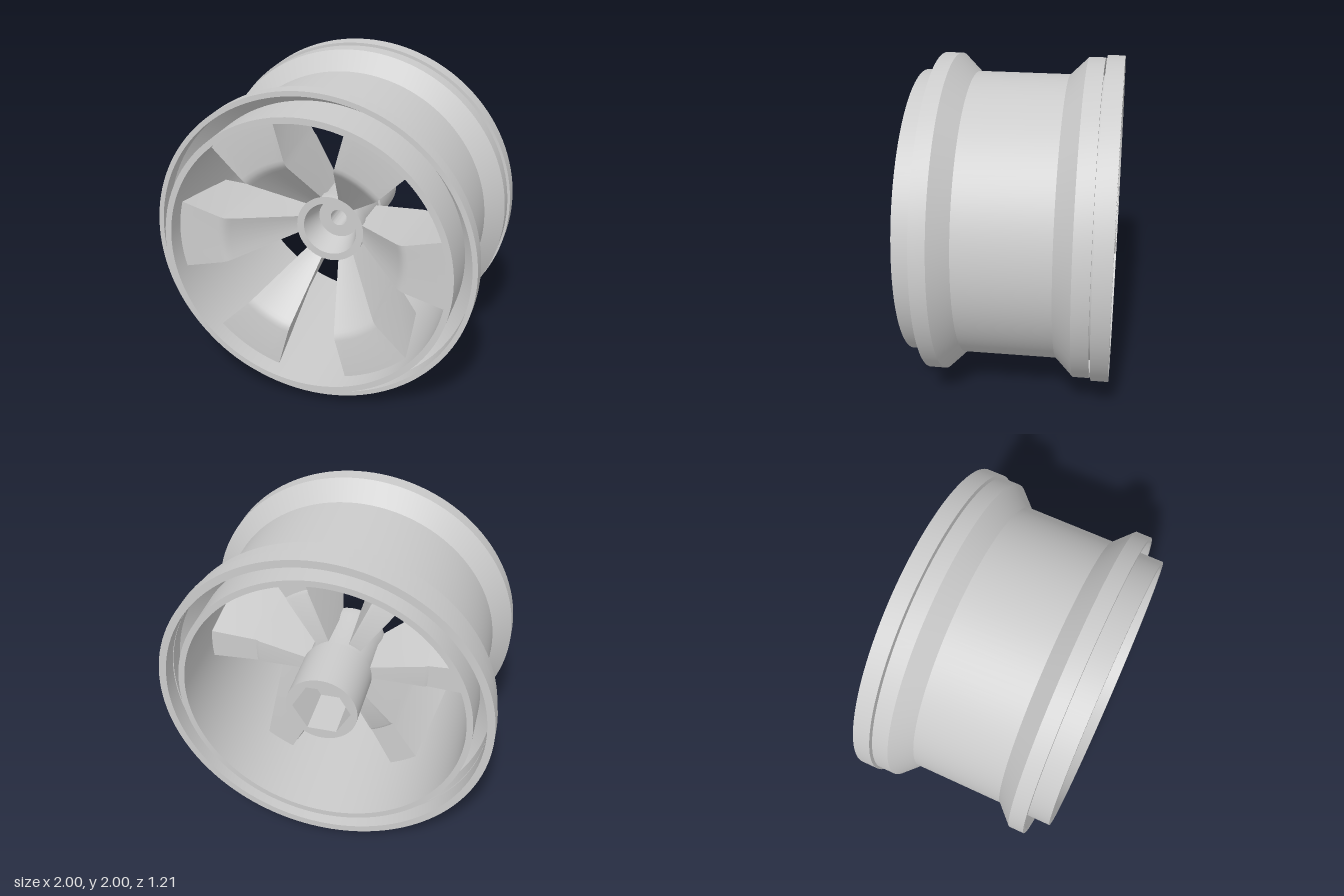
import * as THREE from 'three';
import { toCreasedNormals } from 'three/addons/utils/BufferGeometryUtils.js';

const material = new THREE.MeshStandardMaterial({ color: 0xcccccc });

function addMesh(parent, name, geometry, crease = 0.5) {
  const mesh = new THREE.Mesh(toCreasedNormals(geometry, crease), material);
  mesh.name = name;
  parent.add(mesh);
  return mesh;
}

// Closed ring of revolution about z; profile is [radius, z], counter-clockwise
function revolve(profile, segments = 96) {
  const points = [...profile, profile[0]].map(([r, z]) => new THREE.Vector2(r, z));
  return new THREE.LatheGeometry(points, segments).rotateX(Math.PI / 2);
}

// Spoke along +x: a wedge in front that narrows to a straight rib behind.
// Each station is [radius, front z, back z, back half width].
function spokeGeometry() {
  const stations = [
    [0.19, 0.115, -0.2, 0.04],
    [0.215, 0.14, -0.2, 0.042],
    [0.525, 0.455, -0.16, 0.076],
    [0.545, 0.473, -0.15, 0.078],
    [0.565, 0.485, -0.15, 0.079],
    [0.59, 0.49, -0.15, 0.08],
    [0.855, 0.49, -0.15, 0.095],
  ];
  const steps = 6;
  const half = Math.PI / 12;
  const loop = 2 * (steps + 1);
  const positions = [];
  const index = [];
  for (const [r, front, back, width] of stations) {
    const backHalf = Math.asin(width / r);
    for (let i = 0; i <= steps; i++) {
      const a = half * (2 * i / steps - 1);
      positions.push(r * Math.cos(a), r * Math.sin(a), front);
    }
    for (let i = 0; i <= steps; i++) {
      const a = backHalf * (1 - 2 * i / steps);
      positions.push(r * Math.cos(a), r * Math.sin(a), back);
    }
  }
  for (let s = 0; s < stations.length - 1; s++) {
    for (let i = 0; i < loop; i++) {
      const a = s * loop + i;
      const b = s * loop + (i + 1) % loop;
      index.push(a, a + loop, b, b, a + loop, b + loop);
    }
  }
  // End caps
  const last = (stations.length - 1) * loop;
  for (let i = 0; i < steps; i++) {
    const a = i, b = i + 1, c = loop - 2 - i, d = loop - 1 - i;
    index.push(a, b, c, a, c, d);
    index.push(last + a, last + c, last + b, last + a, last + d, last + c);
  }
  const geometry = new THREE.BufferGeometry();
  geometry.setAttribute('position', new THREE.Float32BufferAttribute(positions, 3));
  geometry.setIndex(index);
  return geometry;
}

export function createModel() {
  const model = new THREE.Group();
  model.name = 'wheel';
  const wheel = new THREE.Group();
  wheel.name = 'wheelBody';
  wheel.position.y = 1;
  model.add(wheel);

  // Barrel with a grooved flange at each end
  addMesh(wheel, 'rim', revolve([
    [0.84, -0.605], [0.877, -0.605], [0.877, -0.31], [0.955, -0.39], [0.955, -0.49],
    [0.985, -0.49], [0.985, -0.39], [0.877, -0.28], [0.877, 0.28], [0.985, 0.39],
    [0.985, 0.485], [0.955, 0.485], [0.955, 0.39], [0.877, 0.31], [0.877, 0.605], [0.84, 0.605],
  ], 128));

  // Separate bead ring behind the rear flange
  addMesh(wheel, 'beadRing', revolve([[0.955, -0.605], [1, -0.605], [1, -0.5], [0.955, -0.5]], 128));

  // Front of the hub: conical cup with the axle hole
  addMesh(wheel, 'hubCup', revolve([
    [0.053, -0.3], [0.2, -0.3], [0.2, 0.02], [0.215, 0.08], [0.215, 0.14],
    [0.17, 0.14], [0.13, -0.03], [0.053, -0.03],
  ], 64));

  // Rear of the hub: cylinder with a hexagonal socket
  const socket = new THREE.Shape().absarc(0, 0, 0.215, 0, Math.PI * 2);
  const hexagon = Array.from({ length: 6 }, (_, i) => {
    const a = -i * Math.PI / 3;
    return new THREE.Vector2(0.175 * Math.cos(a), 0.175 * Math.sin(a));
  });
  socket.holes.push(new THREE.Path(hexagon));
  const socketGeometry = new THREE.ExtrudeGeometry(socket, {
    depth: 0.365, bevelEnabled: false, curveSegments: 32,
  });
  addMesh(wheel, 'hexSocket', socketGeometry.translate(0, 0, -0.605));

  // Six spokes
  const spoke = spokeGeometry();
  for (let i = 0; i < 6; i++) {
    addMesh(wheel, 'spoke', spoke, 0.45).rotation.z = i * Math.PI / 3;
  }
  return model;
}
